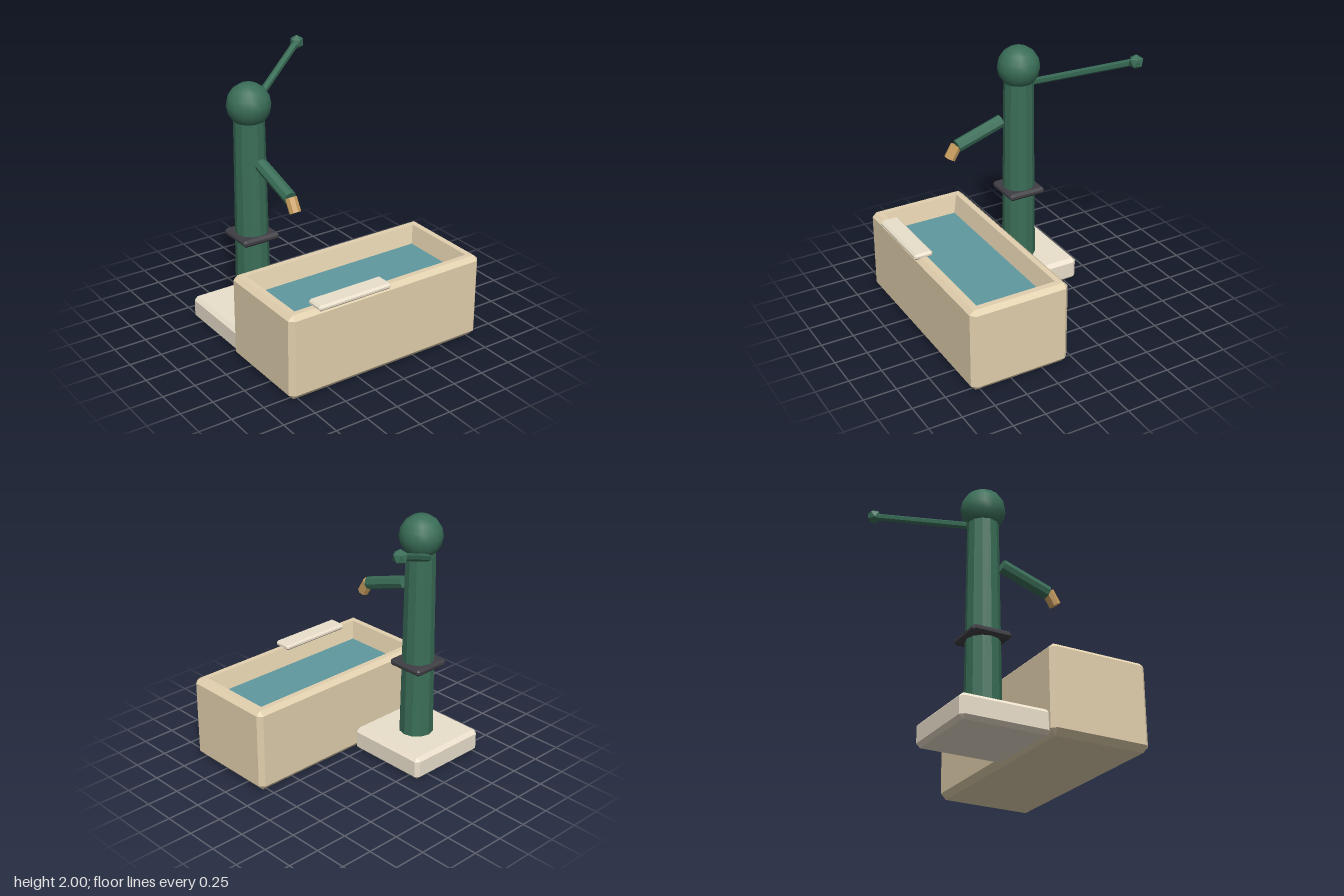
import * as THREE from 'three';

const mat = (color, flat = true) => new THREE.MeshStandardMaterial({ color, flatShading: flat });
const V = (x, y, z) => new THREE.Vector3(x, y, z);

// Closed loft through horizontal rectangles [y, halfWidth, halfDepth, cornerCut]
function loft(sections) {
  const rings = sections.map(([y, w, d, c]) => [
    V(w, y, d - c), V(w, y, c - d), V(w - c, y, -d), V(c - w, y, -d),
    V(-w, y, c - d), V(-w, y, d - c), V(c - w, y, d), V(w - c, y, d),
  ]);
  const points = [];
  const tri = (a, b, c) => {
    if (new THREE.Triangle(a, b, c).getArea() > 1e-7) points.push(a, b, c);
  };
  for (let i = 0; i < rings.length - 1; i++) {
    for (let j = 0; j < 8; j++) {
      const k = (j + 1) % 8, lo = rings[i], hi = rings[i + 1];
      tri(lo[j], lo[k], hi[k]);
      tri(lo[j], hi[k], hi[j]);
    }
  }
  const bottom = rings[0], top = rings[rings.length - 1];
  for (let j = 1; j < 7; j++) {
    tri(bottom[0], bottom[j + 1], bottom[j]);
    tri(top[0], top[j], top[j + 1]);
  }
  const geometry = new THREE.BufferGeometry().setFromPoints(points);
  geometry.computeVertexNormals();
  return geometry;
}

// Box standing on y = 0 with every edge chamfered by c
const chamferBox = (w, h, d, c) => loft([
  [0, w / 2 - c, d / 2 - c, 0],
  [c, w / 2, d / 2, c],
  [h - c, w / 2, d / 2, c],
  [h, w / 2 - c, d / 2 - c, 0],
]);

export function createModel() {
  const group = new THREE.Group();
  const trough = mat(0xe2d0ae), slab = mat(0xebe0cc), iron = mat(0x3a6e58);
  const dark = mat(0x3e3e44), brass = mat(0xc89d5e), water = mat(0x5f999f);
  const smoothIron = mat(0x3a6e58, false);
  const px = -0.45, pz = -0.268; // pump axis

  const add = (name, geometry, material, x = 0, y = 0, z = 0) => {
    const mesh = new THREE.Mesh(geometry, material);
    mesh.name = name;
    mesh.position.set(x, y, z);
    group.add(mesh);
    return mesh;
  };

  // Straight faceted bar between two points
  const bar = (name, a, b, r, sides, material) => {
    const dir = b.clone().sub(a);
    const mesh = add(name, new THREE.CylinderGeometry(r, r, dir.length(), sides), material);
    mesh.position.copy(a).add(b).multiplyScalar(0.5);
    mesh.quaternion.setFromUnitVectors(V(0, 1, 0), dir.normalize());
  };

  // Stone trough with inner walls sloping down to the water
  add('trough', loft([
    [0, 0.78, 0.345, 0],
    [0.045, 0.82, 0.385, 0.035],
    [0.623, 0.82, 0.385, 0.035],
    [0.655, 0.785, 0.35, 0],
    [0.655, 0.74, 0.308, 0],
    [0.515, 0.705, 0.27, 0],
  ]), trough, 0, 0, 0.435);
  const surface = new THREE.PlaneGeometry(1.411, 0.541).rotateX(-Math.PI / 2);
  add('water', surface, water, 0, 0.518, 0.435);
  add('rimSlab', chamferBox(0.6, 0.045, 0.145, 0.015), slab, -0.3, 0.642, 0.767);

  // Pump base, column, collar and head
  add('plinth', chamferBox(0.67, 0.18, 0.67, 0.028), slab, px, 0, -0.27);
  add('column', new THREE.CylinderGeometry(0.112, 0.131, 1.54, 12), iron, px, 0.93, pz);
  add('collar', chamferBox(0.3, 0.055, 0.3, 0.018), dark, px, 0.72, pz);
  add('head', new THREE.SphereGeometry(0.162, 16, 8), smoothIron, px, 1.752, pz);

  // Spout with brass nozzle
  bar('spout', V(px, 1.347, -0.117), V(px, 1.225, 0.257), 0.05, 8, iron);
  bar('nozzle', V(px, 1.232, 0.264), V(px, 1.138, 0.32), 0.044, 8, brass);

  // Pump handle with a knob standing on one of its points
  bar('handle', V(-0.42, 1.62, -0.37), V(0.297, 1.945, -0.79), 0.027, 6, iron);
  const knob = new THREE.IcosahedronGeometry(0.056, 0);
  knob.rotateX(-Math.atan((1 + Math.sqrt(5)) / 2));
  add('handleKnob', knob, iron, 0.297, 1.944, -0.79);

  return group;
}
